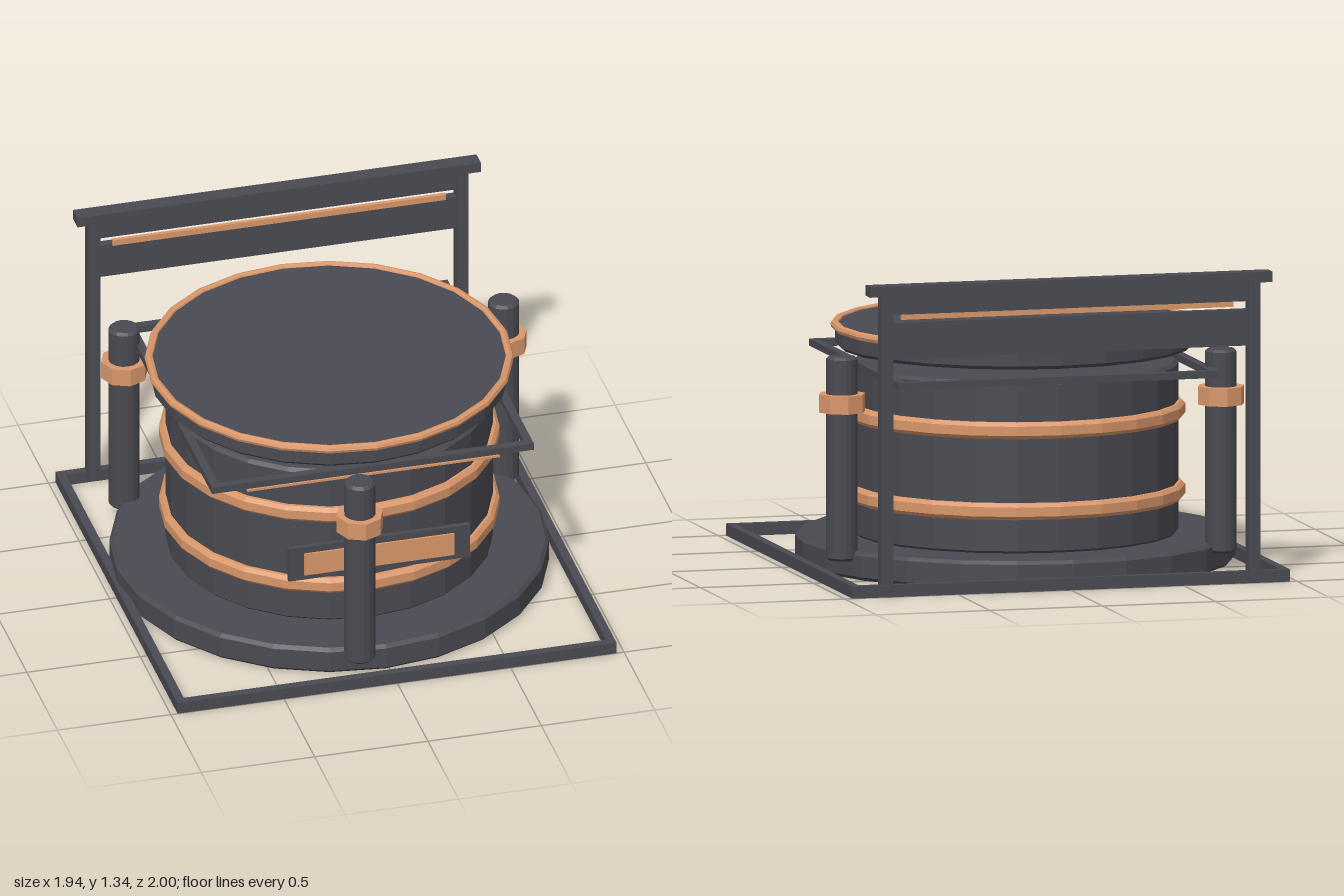
import * as THREE from 'three';

const dark = new THREE.MeshStandardMaterial({ color: 0x4a4a52, flatShading: true });
dark.name = 'charcoal metal';
const copper = new THREE.MeshStandardMaterial({ color: 0xd9976a, flatShading: true });
copper.name = 'copper';

// Centre of the round vessel
const CX = -0.018, CZ = -0.05;

export function createModel() {
  const group = new THREE.Group();

  const add = (name, geometry, material, x = 0, y = 0, z = 0) => {
    const mesh = new THREE.Mesh(geometry, material);
    mesh.name = name;
    mesh.position.set(x, y, z);
    group.add(mesh);
    return mesh;
  };

  // Box given by its limits on each axis
  const box = (name, material, [x0, x1], [y0, y1], [z0, z1]) =>
    add(name, new THREE.BoxGeometry(x1 - x0, y1 - y0, z1 - z0), material,
      (x0 + x1) / 2, (y0 + y1) / 2, (z0 + z1) / 2);

  // Solid disc with bevelled rims
  const drum = (name, material, r, y0, y1, bevel, sides, x = CX, z = CZ) => {
    const profile = [[0, y0], [r - bevel, y0], [r, y0 + bevel], [r, y1 - bevel], [r - bevel, y1], [0, y1]]
      .map(([px, py]) => new THREE.Vector2(px, py));
    return add(name, new THREE.LatheGeometry(profile, sides), material, x, 0, z);
  };

  // Flat rectangular frame made of four bars
  const frame = (name, [x0, x1], [y0, y1], [z0, z1], w) => {
    box(name + 'Left', dark, [x1 - w, x1], [y0, y1], [z0 + w, z1 - w]);
    box(name + 'Right', dark, [x0, x0 + w], [y0, y1], [z0 + w, z1 - w]);
    box(name + 'Front', dark, [x0, x1], [y0, y1], [z1 - w, z1]);
    box(name + 'Back', dark, [x0, x1], [y0, y1], [z0, z0 + w]);
  };

  // Ground frame and base
  frame('groundFrame', [-0.97, 0.967], [0, 0.052], [-1, 1], 0.037);
  drum('base', dark, 0.937, 0.004, 0.125, 0.015, 24);

  // Vessel body with copper bands
  drum('body', dark, 0.697, 0.12, 0.865, 0.015, 24);
  for (const y of [0.307, 0.655]) {
    const profile = [[0.68, -0.036], [0.711, -0.036], [0.726, -0.02], [0.726, 0.02], [0.711, 0.036], [0.68, 0.036]]
      .map(([px, py]) => new THREE.Vector2(px, py));
    add('band', new THREE.LatheGeometry(profile, 24), copper, CX, y, CZ);
  }

  // Square rim around the top of the body, with a copper strip
  frame('rimFrame', [-0.725, 0.695], [0.853, 0.884], [-0.76, 0.656], 0.036);
  box('rimStrip', copper, [-0.572, 0.543], [0.844, 0.854], [0.652, 0.664]);

  // Floating lid with copper edge
  drum('lid', dark, 0.766, 0.925, 1.025, 0.015, 24);
  const edge = new THREE.TorusGeometry(0.768, 0.019, 8, 24);
  edge.rotateX(Math.PI / 2);
  add('lidEdge', edge, copper, CX, 1.017, CZ);

  // Three pillars with octagonal collars
  for (const [x, z] of [[-0.77, -0.618], [0.85, -0.415], [-0.135, 0.885]]) {
    drum('pillar', dark, 0.067, 0.083, 0.96, 0.012, 16, x, z);
    add('collar', new THREE.CylinderGeometry(0.102, 0.102, 0.078, 8), copper, x, 0.76, z);
  }

  // Front plaque
  box('plaque', dark, [-0.417, 0.383], [0.435, 0.595], [0.746, 0.768]);
  box('plaqueInset', copper, [-0.35, 0.312], [0.46, 0.565], [0.768, 0.777]);

  // Rear gantry: posts, beam, panels and copper strip
  for (const x of [-0.815, 0.81])
    box('gantryPost', dark, [x - 0.026, x + 0.026], [0.03, 1.295], [-0.992, -0.936]);
  box('gantryBeam', dark, [-0.892, 0.888], [1.292, 1.337], [-1, -0.927]);
  box('upperPanel', dark, [-0.79, 0.785], [1.211, 1.293], [-0.98, -0.945]);
  box('lowerPanel', dark, [-0.79, 0.785], [1.02, 1.176], [-0.98, -0.945]);
  box('gantryStrip', copper, [-0.738, 0.732], [1.182, 1.208], [-0.936, -0.918]);

  return group;
}
